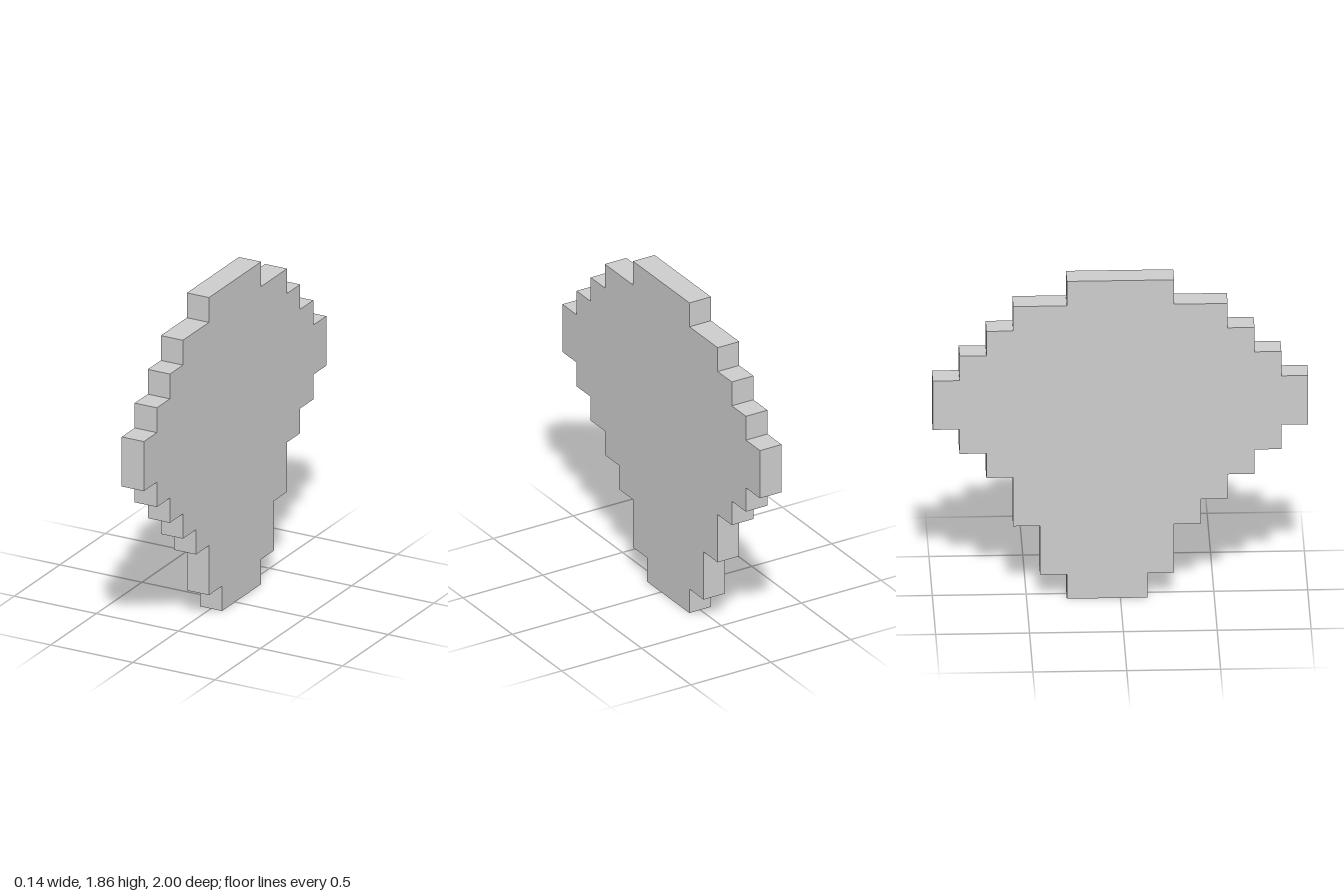
import * as THREE from 'three';

const STEP = 1 / 7; // size of one stair step
const THICKNESS = 0.135;

// Bands from bottom to top, in steps: [top height, front edge z, back edge z]
const BANDS = [
  [1, 1, -2], [3, 2, -3], [4, 3, -4], [5, 4, -4], [6, 5, -5], [7, 6, -6],
  [9, 7, -7], [10, 6, -6], [11, 5, -5], [12, 4, -4], [13, 2, -2],
];

// Closed stepped outline: up the front edge, then down the back edge
function steppedOutline() {
  const front = [];
  const back = [];
  let bottom = 0;
  for (const [top, zFront, zBack] of BANDS) {
    for (const y of [bottom, top]) {
      front.push(new THREE.Vector2(zFront, y).multiplyScalar(STEP));
      back.push(new THREE.Vector2(zBack, y).multiplyScalar(STEP));
    }
    bottom = top;
  }
  // Drop the repeated corners where two neighbouring bands share an edge
  const points = [...front, ...back.reverse()];
  return new THREE.Shape(points.filter((p, i) => i === 0 || !p.equals(points[i - 1])));
}

export function createModel() {
  const group = new THREE.Group();
  group.name = 'steppedPlate';

  // Flat plate standing in the yz plane
  const geometry = new THREE.ExtrudeGeometry(steppedOutline(), { depth: THICKNESS, bevelEnabled: false });
  geometry.translate(0, 0, -THICKNESS / 2);
  geometry.rotateY(-Math.PI / 2);

  const plate = new THREE.Mesh(geometry, new THREE.MeshStandardMaterial({ color: 0xcccccc, flatShading: true }));
  plate.name = 'plate';
  group.add(plate);
  return group;
}
